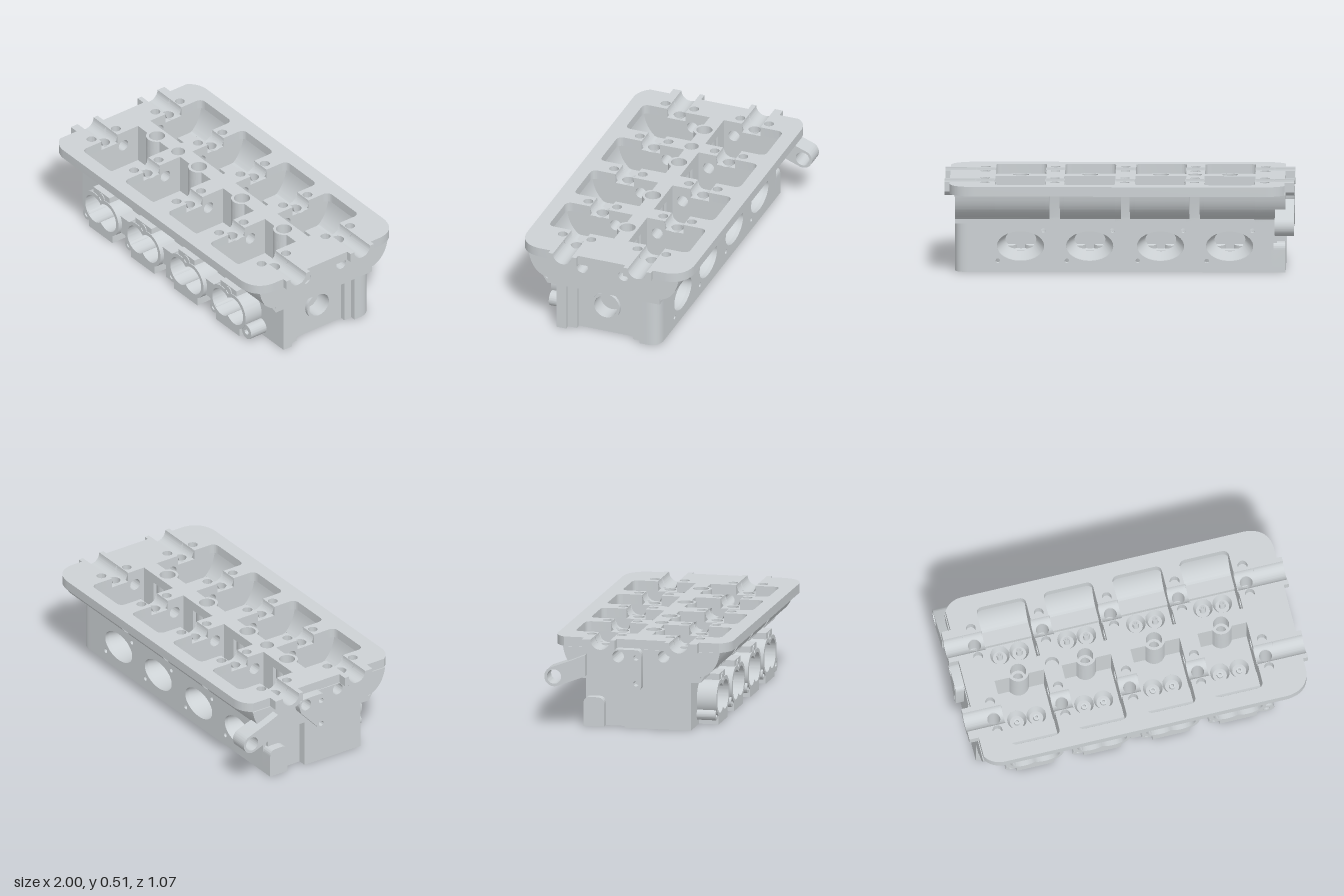
import * as THREE from 'three';
import { toCreasedNormals } from 'three/addons/utils/BufferGeometryUtils.js';

const castAlloy = new THREE.MeshStandardMaterial({ color: 0xccd1d4, side: THREE.DoubleSide });
const PORTS = [-0.63, -0.235, 0.17, 0.565];        // cylinder centres along x
const BOLTS = [-0.83, -0.43, -0.03, 0.37, 0.77];   // head bolt stations along x
const WALLS = [[-0.95, -0.775], [-0.485, -0.38], [-0.09, 0.025], [0.315, 0.42], [0.71, 0.94]];
const BULGES = [[-0.95, -0.46], [-0.40, -0.06], [-0.01, 0.34], [0.40, 0.94]];
const TOP = 0.515, DECK = 0.055, FLOOR = 0.28, CAM = 0.057, BOLT = 0.037, MID = 0.02;
const side = (s, z) => (s > 0 ? z : 2 * MID - z);  // mirror about the centre line
const camZ = (s) => side(s, 0.25);

export function createModel() {
  const root = new THREE.Group();
  const add = (name, geo) => {
    const mesh = new THREE.Mesh(toCreasedNormals(geo, 0.55), castAlloy);
    mesh.name = name;
    root.add(mesh);
    return mesh;
  };
  const V = (x, y, z) => new THREE.Vector3(x, y, z);
  const poly = (pts) => new THREE.Shape(pts.map(([a, b]) => new THREE.Vector2(a, b)));
  const rect = (a0, a1, b0, b1) => poly([[a0, b0], [a1, b0], [a1, b1], [a0, b1]]);
  const circle = (a, b, r) => new THREE.Shape().absarc(a, b, r, 0, Math.PI * 2);
  const cut = (shape, ...holes) => { shape.holes.push(...holes); return shape; };
  // outline of two overlapping circles
  const twin = (a, b, r, off) => {
    const f = Math.acos(off / r), s = new THREE.Shape();
    s.absarc(a + off, b, r, f - Math.PI, Math.PI - f);
    s.absarc(a - off, b, r, f, 2 * Math.PI - f);
    return s;
  };
  const extrude = (shape, depth) =>
    new THREE.ExtrudeGeometry(shape, { depth, bevelEnabled: false, curveSegments: 24 });
  const plan = (name, shape, y0, y1) =>        // shape in (x, z)
    add(name, extrude(shape, y1 - y0).rotateX(Math.PI / 2).translate(0, y1, 0));
  const section = (name, shape, x0, x1) =>     // shape in (z, y)
    add(name, extrude(shape, x1 - x0).rotateY(-Math.PI / 2).translate(x1, 0, 0));
  const face = (name, shape, z0, z1) =>        // shape in (x, y)
    add(name, extrude(shape, z1 - z0).translate(0, 0, z0));
  const box = (name, x0, x1, y0, y1, z0, z1) =>
    add(name, new THREE.BoxGeometry(x1 - x0, y1 - y0, z1 - z0)
      .translate((x0 + x1) / 2, (y0 + y1) / 2, (z0 + z1) / 2));
  // blind bore from a mouth point to an end point
  const bore = (name, from, to, r0, r1) => {
    const d = to.clone().sub(from), len = d.length();
    const pts = [[r0, 0], [r1, len], [0, len]].map(([r, h]) => new THREE.Vector2(r, h));
    const mesh = add(name, new THREE.LatheGeometry(pts, 32));
    mesh.position.copy(from);
    mesh.quaternion.setFromUnitVectors(V(0, 1, 0), d.normalize());
    return mesh;
  };
  const pipe = (name, x, z, r, y0, y1) =>
    add(name, new THREE.CylinderGeometry(r, r, y1 - y0, 32, 1, true).translate(x, (y0 + y1) / 2, z));

  // ---- Upper deck: outer strips with pocket notches ----
  for (const s of [1, -1]) {
    const zt = camZ(s) + s * CAM, zp = side(s, 0.45), zo = side(s, 0.535), c = s * 0.04, R = s * 0.13;
    const strip = new THREE.Shape().moveTo(-1, zt);
    for (const p of PORTS) {
      strip.lineTo(p - 0.145, zt).lineTo(p - 0.145, zp - c)
        .quadraticCurveTo(p - 0.145, zp, p - 0.105, zp).lineTo(p + 0.105, zp)
        .quadraticCurveTo(p + 0.145, zp, p + 0.145, zp - c).lineTo(p + 0.145, zt);
    }
    strip.lineTo(1, zt).lineTo(1, zt + s * 0.028).lineTo(0.97, zt + s * 0.028).lineTo(0.97, zo - R)
      .quadraticCurveTo(0.96, zo - s * 0.01, 0.83, zo).lineTo(-0.84, zo)
      .quadraticCurveTo(-0.91, zo - s * 0.005, -0.945, zo - s * 0.06)
      .lineTo(-0.945, zt + s * 0.05).lineTo(-1, zt + s * 0.05);
    const holes = BOLTS.map((b) => circle(b, camZ(s) + s * 0.088, 0.028));
    plan('deckFlange', cut(strip, ...holes), TOP - DECK, TOP);
  }

  // ---- Upper deck: centre strip ----
  const zf = camZ(1) - CAM, zb = camZ(-1) + CAM;
  const centre = new THREE.Shape().moveTo(-1, zb);
  for (const p of PORTS)
    centre.lineTo(p - 0.145, zb).lineTo(p - 0.145, -0.043).lineTo(p + 0.145, -0.043).lineTo(p + 0.145, zb);
  centre.lineTo(1, zb).lineTo(1, zb + 0.028).lineTo(0.97, zb + 0.028)
    .lineTo(0.97, zf - 0.028).lineTo(1, zf - 0.028).lineTo(1, zf);
  for (const p of [...PORTS].reverse()) {
    centre.lineTo(p + 0.145, zf).lineTo(p + 0.145, 0.045).lineTo(p + 0.056, 0.045);
    centre.absarc(p, MID, 0.062, 0.42, Math.PI - 0.42);
    centre.lineTo(p - 0.145, 0.045).lineTo(p - 0.145, zf);
  }
  centre.lineTo(-1, zf).lineTo(-1, zf - 0.028).lineTo(-0.945, zf - 0.028)
    .lineTo(-0.945, zb + 0.028).lineTo(-1, zb + 0.028);
  plan('deckCentre', cut(centre, ...PORTS.map((p) => circle(p, MID, 0.046)),
    ...BOLTS.flatMap((b) => [circle(b, zf - 0.031, 0.028), circle(b, zb + 0.031, 0.028)]),
    circle(BOLTS[1], MID, 0.04)), TOP - DECK, TOP);

  // ---- Walls between the valve pockets, with oil passages and cam saddles ----
  WALLS.forEach(([x0, x1], i) => {
    section('pocketWall', cut(rect(zb, zf, FLOOR, 0.46), circle(0.15, 0.424, 0.034),
      circle(-0.105, 0.424, 0.034)), x0, x1);
    for (const s of [1, -1]) {
      const z = (v) => side(s, v), zc = camZ(s), b = BOLTS[i], zt = zc + s * CAM;
      plan('camPillar', cut(rect(x0, x1, zc - CAM, zc + CAM), circle(b, zc, BOLT)), FLOOR, 0.457);
      section('outerWeb', poly([[zt, FLOOR], [z(0.365), FLOOR], [z(0.365), 0.32],
        [z(0.385), 0.46], [zt, 0.46]]), x0, x1);
      // solid shoulders where a bulge runs past its pocket
      for (const [b0, b1] of BULGES) {
        const a = Math.max(x0, b0), e = Math.min(x1, b1);
        if (e - a < 0.005) continue;
        section('bulgeShoulder', new THREE.Shape().moveTo(zt, FLOOR).lineTo(z(0.365), FLOOR)
          .lineTo(z(0.365), 0.315).quadraticCurveTo(z(0.46), 0.335, z(0.48), 0.46).lineTo(zt, 0.46), a, e);
      }
      // curved saddle surface around a bolt hole
      const N = 64, M = 10, pos = [], idx = [];
      for (let j = 0; j <= M; j++) for (let k = 0; k <= N; k++) {
        const a = k / N * Math.PI * 2, c = Math.cos(a), n = Math.sin(a);
        const r = THREE.MathUtils.lerp(BOLT, CAM / Math.max(Math.abs(c), Math.abs(n)),
          Math.sin(j / M * Math.PI / 2));
        pos.push(b + r * c, TOP - Math.sqrt(Math.max(0, CAM * CAM - r * n * r * n)), zc + r * n);
        if (j < M && k < N) {
          const q = j * (N + 1) + k, t = q + N + 1;
          idx.push(q, q + 1, t, q + 1, t + 1, t);
        }
      }
      const saddle = new THREE.BufferGeometry();
      saddle.setAttribute('position', new THREE.Float32BufferAttribute(pos, 3));
      saddle.setIndex(idx);
      add('camSaddle', saddle);
      pipe('headBoltBore', b, zc, BOLT, 0, 0.458);
    }
  });
  for (const s of [1, -1]) for (const [x0, x1] of [[-1, -0.887], [0.827, 1]]) {
    const half = new THREE.Shape();
    half.absarc(camZ(s), TOP, 0.085, Math.PI, Math.PI * 2);
    half.absarc(camZ(s), TOP, CAM, Math.PI * 2, Math.PI, true);
    section('camEndBearing', half, x0, x1);
  }

  // ---- Bulging outer walls of the pockets ----
  for (const s of [1, -1]) {
    const z = (v) => side(s, v);
    for (const [x0, x1] of BULGES) {
      const shell = new THREE.Shape().moveTo(z(0.31), FLOOR).lineTo(z(0.365), FLOOR).lineTo(z(0.365), 0.315)
        .quadraticCurveTo(z(0.46), 0.335, z(0.48), 0.46).lineTo(z(0.45), 0.46)
        .quadraticCurveTo(z(0.43), 0.32, z(0.31), FLOOR);
      section('pocketBulge', shell, x0, x1);
    }
    const zs = [z(0.28), z(0.365)].sort((a, b) => a - b);
    box('sideLedge', -0.95, 0.94, 0.285, 0.315, zs[0], zs[1]);
  }

  // ---- Each cylinder: pocket floor, spark plug tube, ports and chamber ----
  const bottomHoles = BOLTS.flatMap((b) => [1, -1].map((s) => circle(b, camZ(s), BOLT)));
  for (const b of BOLTS.slice(1, 4)) bottomHoles.push(circle(b, 0.12, 0.022), circle(b, -0.08, 0.022));
  for (const p of PORTS) {
    const lifters = [1, -1].flatMap((s) => [-0.057, 0.057].map((d) => [p + d, side(s, 0.222), s]));
    plan('pocketFloor', cut(rect(p - 0.15, p + 0.15, -0.29, 0.33), circle(p, MID, 0.03),
      ...lifters.map(([x, z]) => circle(x, z, 0.056))), FLOOR - 0.008, FLOOR);
    for (const [x, z, s] of lifters) {
      bore('lifterBore', V(x, FLOOR, z), V(x, FLOOR - 0.045, z), 0.056, 0.04);
      const guide = add('valveGuide', extrude(cut(circle(0, 0, 0.018), circle(0, 0, 0.009)), 0.035)
        .rotateX(-Math.PI / 2));
      guide.position.set(x, FLOOR - 0.045, z);
      guide.rotation.x = s * 0.2;
    }
    for (const d of [-0.0975, 0.0975])
      box('pocketRib', p + d - 0.0475, p + d + 0.0475, FLOOR, 0.46, -0.043, 0.045);
    plan('sparkPlugBoss', cut(circle(p, MID, 0.062), circle(p, MID, 0.046)), 0.4, 0.46);
    plan('sparkPlugSeat', cut(circle(p, MID, 0.062), circle(p, MID, 0.03)), FLOOR, 0.4);
    pipe('sparkPlugBore', p, MID, 0.03, 0.085, FLOOR);

    // pent-roof combustion chamber
    bottomHoles.push(circle(p, MID, 0.165));
    pipe('chamberWall', p, MID, 0.165, 0, 0.1);
    for (const s of [1, -1]) {
      const a = s > 0 ? 0 : Math.PI;
      const roof = new THREE.Shape().absarc(p, 0, 0.165, a, a + Math.PI);
      roof.absarc(p, 0, 0.028, a + Math.PI, a, true);
      const seats = [-0.062, 0.062].map((d) => [p + d, s * 0.082]);
      cut(roof, ...seats.map(([x, z]) => circle(x, z, 0.05)));
      const g = new THREE.ShapeGeometry(roof, 24).rotateX(Math.PI / 2), at = g.attributes.position;
      for (let i = 0; i < at.count; i++) at.setY(i, 0.098 - 0.5 * Math.abs(at.getZ(i)));
      add('chamberRoof', g.translate(0, 0, MID));
      for (const [x, z] of seats)
        bore('valveSeat', V(x, 0.055, z + MID), V(x, 0.135, z * 1.25 + MID), 0.051, 0.042);
    }

    // intake and exhaust ports
    face('intakeSleeve', cut(twin(p, 0.145, 0.088, 0.06), twin(p, 0.145, 0.085, 0.06)), 0.18, 0.3);
    for (const d of [-0.06, 0.06])
      bore('intakePort', V(p + d, 0.145, 0.19), V(p + d, 0.15, 0.08), 0.085, 0.055);
    bore('exhaustPort', V(p, 0.15, -0.3), V(p, 0.16, -0.1), 0.085, 0.055).scale.x = 1.6;

    // intake flange, its pads and stud bosses
    face('intakeFlange', cut(twin(p, 0.145, 0.108, 0.06), twin(p, 0.145, 0.085, 0.06)), 0.3, 0.425);
    box('intakeFoot', p - 0.11, p + 0.11, 0, 0.058, 0.3, 0.425);
    box('intakePad', p - 0.075, p + 0.075, 0.232, 0.288, 0.3, 0.42);
    face('intakeStudBoss', cut(circle(p - 0.14, 0.062, 0.032), circle(p - 0.14, 0.062, 0.015)), 0.3, 0.42);
    face('intakeStudBoss', cut(circle(p, 0.25, 0.032), circle(p, 0.25, 0.015)), 0.3, 0.425);
  }
  for (let i = 0; i < 3; i++)
    box('intakeBridge', PORTS[i] + 0.15, PORTS[i + 1] - 0.15, 0.09, 0.2, 0.3, 0.4);
  face('intakeStudBoss', cut(circle(0.735, 0.06, 0.045), circle(0.735, 0.06, 0.018)), 0.3, 0.42);
  box('centreFoot', -0.06, 0.02, 0, 0.09, 0.3, 0.39);

  // ---- Lower body ----
  plan('bottomFace', cut(rect(-0.9, 0.87, -0.32, 0.31), ...bottomHoles), 0, 0.02);
  face('frontWall', cut(rect(-0.95, 0.94, 0, 0.29), ...PORTS.map((p) => twin(p, 0.145, 0.085, 0.06))), 0.27, 0.31);
  face('backWall', cut(rect(-0.88, 0.86, 0, 0.31), ...PORTS.flatMap((p) => [
    new THREE.Shape().absellipse(p, 0.15, 0.135, 0.085, 0, Math.PI * 2),
    circle(p - 0.13, 0.24, 0.013), circle(p + 0.13, 0.065, 0.013)])), -0.32, -0.28);

  // ---- Left end: plug ring between pillars ----
  section('leftEndWall', cut(rect(-0.3, 0.29, 0, 0.29), circle(0.023, 0.172, 0.07)), 0.84, 0.88);
  section('corePlugRing', cut(circle(0.023, 0.172, 0.086), circle(0.023, 0.172, 0.07)), 0.86, 0.9);
  bore('corePlugBore', V(0.88, 0.172, 0.023), V(0.8, 0.172, 0.023), 0.07, 0.07);
  box('endPillar', 0.84, 0.94, 0, 0.29, 0.25, 0.3);
  box('endPillarStep', 0.84, 0.91, 0, 0.29, 0.195, 0.25);
  const corner = new THREE.Shape().moveTo(0.84, -0.15).lineTo(0.91, -0.15).lineTo(0.91, -0.2)
    .lineTo(0.94, -0.2).lineTo(0.94, -0.24).quadraticCurveTo(0.94, -0.32, 0.86, -0.32).lineTo(0.84, -0.32);
  plan('endCorner', corner, 0, 0.29);

  // ---- Right end: block, foot, drilled plate and lifting lug ----
  box('rightEndWall', -0.9, -0.86, 0, 0.29, -0.3, 0.29);
  box('endBlock', -0.95, -0.88, 0, 0.29, -0.08, 0.3);
  const foot = new THREE.Shape().moveTo(-0.32, 0).lineTo(-0.2, 0).lineTo(-0.2, 0.13)
    .quadraticCurveTo(-0.2, 0.17, -0.24, 0.17).lineTo(-0.28, 0.17).quadraticCurveTo(-0.32, 0.17, -0.32, 0.13);
  section('cornerFoot', foot, -0.95, -0.87);
  const plate = new THREE.Shape().moveTo(-0.15, 0.42).quadraticCurveTo(-0.15, 0.465, -0.105, 0.465)
    .lineTo(0.0, 0.465).quadraticCurveTo(0.03, 0.465, 0.03, 0.42).lineTo(0.03, 0.25)
    .quadraticCurveTo(0.02, 0.22, -0.01, 0.24).lineTo(-0.14, 0.38);
  section('sensorPlate', cut(plate, circle(-0.105, 0.424, 0.034), circle(0.0, 0.42, 0.016),
    circle(0.0, 0.27, 0.016)), -1, -0.94);
  const lug = new THREE.Shape().moveTo(-0.3, 0.298).lineTo(-0.3, 0.422).lineTo(-0.38, 0.388);
  lug.absarc(-0.481, 0.29, 0.057, 2.08, 5.15);
  lug.lineTo(-0.32, 0.29);
  section('liftingLug', cut(lug, circle(-0.481, 0.29, 0.042)), -1, -0.89);
  return root;
}
